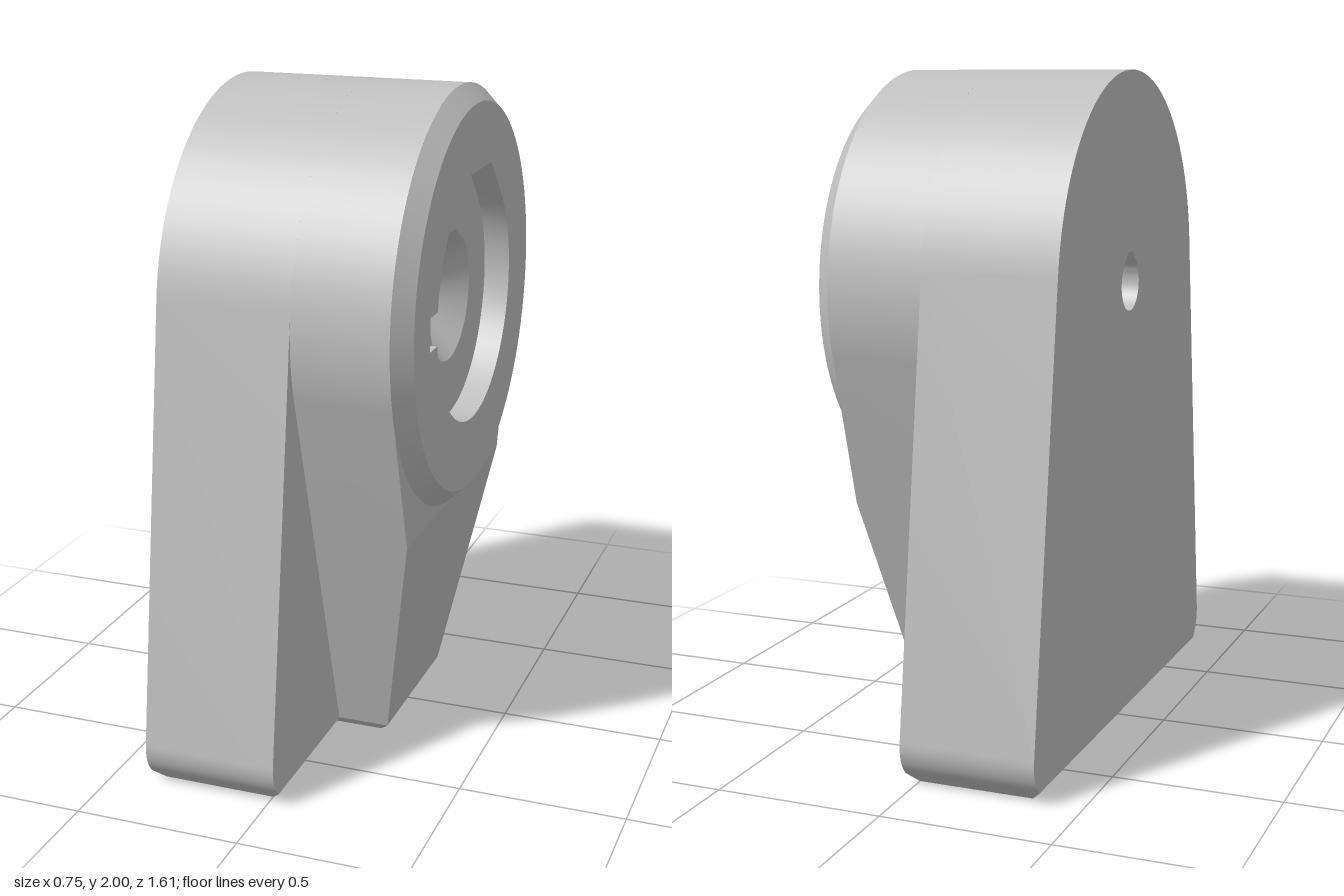
import * as THREE from 'three';
import { toCreasedNormals } from 'three/addons/utils/BufferGeometryUtils.js';

const CY = 1.365, R = 0.635;              // axis height and radius of the round head
const BACK = -0.375, STEP = 0.03, SHOULDER = 0.32, FRONT = 0.372, FLOOR = 0.292;
const CHAMFER = 0.03;                     // bevel around the foot

// 2D helpers: points are [u, v]
const arc = (cu, cv, r, a0, a1, n) => Array.from({ length: n + 1 }, (_, i) => {
  const a = a0 + (a1 - a0) * i / n;
  return [cu + r * Math.cos(a), cv + r * Math.sin(a)];
});
const circle = (cu, cv, r, n = 64) => arc(cu, cv, r, 0, Math.PI * 2, n).slice(0, n);
const mirrored = pts => pts.map(([u, v]) => [-u, v]).reverse();

// Place a side-on outline (u = z, v = y) at depth x, which may depend on y
const atX = x => ([u, v]) => new THREE.Vector3(typeof x === 'function' ? x(v) : x, v, u);
// Place a plan outline (u = x, v = z) at height y
const atY = y => ([u, v]) => new THREE.Vector3(u, y, v);

// Wall joining two matching outlines
function skin(a, b, closed = true) {
  const pos = [];
  const n = a.length;
  for (let i = 0; i < (closed ? n : n - 1); i++) {
    const j = (i + 1) % n;
    for (const p of [a[i], a[j], b[j], a[i], b[j], b[i]]) pos.push(p.x, p.y, p.z);
  }
  const g = new THREE.BufferGeometry();
  g.setAttribute('position', new THREE.Float32BufferAttribute(pos, 3));
  return toCreasedNormals(g, 0.4);
}

// Flat face with optional holes
function cap(outline, holes, place, flip = false) {
  const path = (pts, P) => new P(pts.map(p => new THREE.Vector2(...p)));
  const shape = path(outline, THREE.Shape);
  shape.holes = holes.map(h => path(h, THREE.Path));
  const g = new THREE.ShapeGeometry(shape);
  const pos = g.attributes.position;
  for (let i = 0; i < pos.count; i++) {
    const p = place([pos.getX(i), pos.getY(i)]);
    pos.setXYZ(i, p.x, p.y, p.z);
  }
  if (flip) g.index.array.reverse();
  g.computeVertexNormals();
  return g;
}

// Circle with a flat-topped 45 degree roof, optionally with a side keyway
function roofedHole(r, h, n, key) {
  const w = r * Math.SQRT2 - h, start = Math.PI * 0.75, end = Math.PI * 2.25;
  const roof = [[w, CY + h], [-w, CY + h]];
  if (!key) return [...arc(0, CY, r, start, end, n), ...roof];
  const b = Math.asin(key.half / r);
  return [
    ...arc(0, CY, r, start, Math.PI * 2 - b, n),
    [key.reach, CY - key.half], [key.reach, CY + key.half],
    ...arc(0, CY, r, Math.PI * 2 + b, end, 12), ...roof,
  ];
}

export function createModel() {
  const model = new THREE.Group();
  const grey = new THREE.MeshStandardMaterial({ color: 0xc0c0c0, side: THREE.DoubleSide });
  grey.name = 'grey';

  const part = (name, pieces) => {
    const group = new THREE.Group();
    group.name = name;
    pieces.forEach((g, i) => {
      const mesh = new THREE.Mesh(g, grey);
      mesh.name = `${name}Face${i + 1}`;
      group.add(mesh);
    });
    model.add(group);
  };

  // Shared outlines
  const bore = roofedHole(0.083, 0.095, 40);
  const sinkRim = bore.map(([u, v]) => {
    const k = 0.2 / Math.hypot(u, v - CY);
    return [u * k, CY + (v - CY) * k];
  });
  const pocket = roofedHole(0.375, 0.385, 48, { half: 0.05, reach: 0.44 });

  // Back plate: round top, flared sides and rounded lower corners
  const tangent = 0.13, cornerR = 0.12;
  const corner = arc(0.683, 0.12, cornerR, -Math.asin((0.12 - CHAMFER) / cornerR), tangent, 12);
  const plate = [...corner, ...arc(0, CY, R, tangent, Math.PI - tangent, 72), ...mirrored(corner)];
  part('backPlate', [
    skin(plate.map(atX(STEP)), plate.map(atX(BACK)), false),
    cap(plate, [bore], atX(BACK)),
    cap(plate, [circle(0, CY, 0.5)], atX(STEP), true),
  ]);

  // Head and tapered rib, sharing one side wall
  const ribBreak = 0.73, ribToe = 0.19, lean = 0.293;
  const ribX = y => y >= ribBreak ? SHOULDER
    : ribToe + (SHOULDER - ribToe) * (y - CHAMFER) / (ribBreak - CHAMFER);
  const ribSide = [[0.259, CHAMFER], [0.471, ribBreak]];
  const head = [...ribSide, ...arc(0, CY, R, -lean, Math.PI + lean, 88), ...mirrored(ribSide)];
  part('headAndRib', [
    skin(head.map(atX(ribX)), head.map(atX(STEP)), false),
    cap(head.slice(1, -1), [circle(0, CY, 0.61, 96)], atX(SHOULDER), true),
    cap([...ribSide, ...mirrored(ribSide)], [], atX(ribX), true),
  ]);

  // Bevelled front rim and its ring face
  const rim = circle(0, CY, 0.585, 96);
  part('frontRim', [
    skin(rim.map(atX(FRONT)), circle(0, CY, R, 96).map(atX(SHOULDER))),
    cap(rim, [pocket], atX(FRONT), true),
  ]);

  // Shallow keyed pocket, countersink and through bore
  part('keyedPocket', [
    skin(pocket.map(atX(FLOOR)), pocket.map(atX(FRONT))),
    cap(pocket, [sinkRim], atX(FLOOR), true),
  ]);
  part('countersink', [skin(bore.map(atX(0.175)), sinkRim.map(atX(FLOOR)))]);
  part('throughBore', [skin(bore.map(atX(BACK)), bore.map(atX(0.175)))]);

  // Bevelled T-shaped foot
  const tee = d => {
    const half = [[BACK + d, 0.762 - d], [STEP - d, 0.762 - d], [STEP - d, 0.259 - d], [ribToe - d, 0.259 - d]];
    return [...half.map(([u, v]) => [u, -v]), ...half.reverse()];
  };
  const screwX = -0.172, screwZ = 0.435;
  part('foot', [
    skin(tee(0).map(atY(CHAMFER)), tee(CHAMFER).map(atY(0))),
    cap(tee(CHAMFER), [1, -1].map(s => circle(screwX, s * screwZ, 0.105, 40)), atY(0)),
  ]);

  // Blind screw holes in the underside
  for (const s of [1, -1]) {
    const ring = r => circle(screwX, s * screwZ, r, 40);
    part(s > 0 ? 'leftScrewHole' : 'rightScrewHole', [
      skin(ring(0.105).map(atY(0)), ring(0.08).map(atY(0.025))),
      skin(ring(0.08).map(atY(0.025)), ring(0.08).map(atY(0.5))),
      cap(ring(0.08), [], atY(0.5)),
    ]);
  }
  return model;
}
